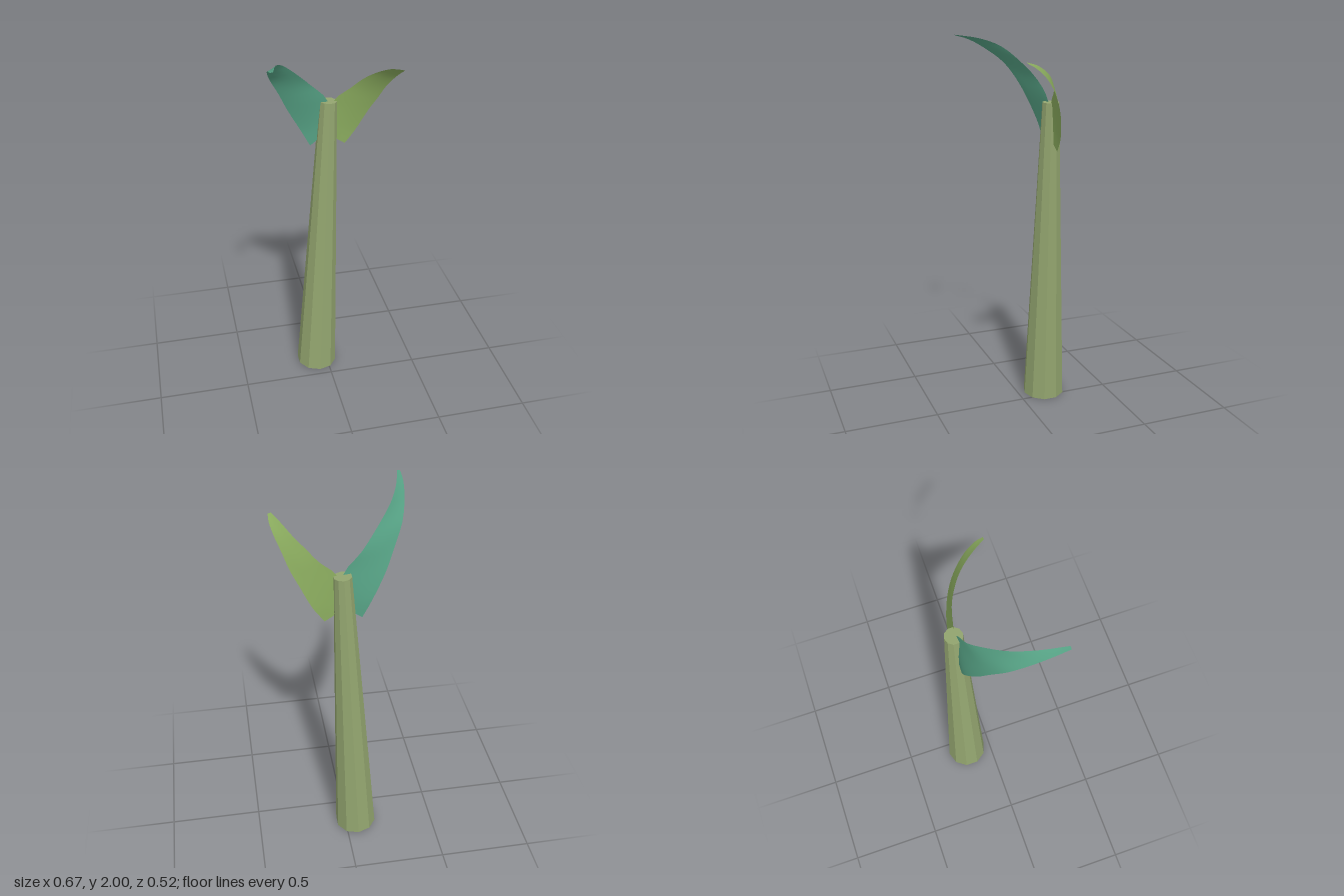
import * as THREE from 'three';

const stalkGreen = new THREE.MeshStandardMaterial({ color: 0x93a56f, flatShading: true });
stalkGreen.name = 'stalk green';
const leafGreen = new THREE.MeshStandardMaterial({ color: 0x8aab5e, side: THREE.DoubleSide });
leafGreen.name = 'leaf green';
const leafTeal = new THREE.MeshStandardMaterial({ color: 0x55a083, side: THREE.DoubleSide });
leafTeal.name = 'leaf teal';

const curve = (pts) => new THREE.CatmullRomCurve3(pts.map((p) => new THREE.Vector3(...p)));

// Thin curved blade lofted between two edges, with a slight groove along the midrib
function makeLeaf(name, outer, inner, material) {
  const a = curve(outer), b = curve(inner);
  const rows = 21, cols = 4, pos = [], index = [];
  for (let i = 0; i <= rows; i++) {
    const t = i / rows;
    const p = a.getPoint(t), q = b.getPoint(t);
    for (let j = 0; j <= cols; j++) {
      const s = j / cols;
      const v = p.clone().lerp(q, s);
      const groove = 0.006 * Math.sin(Math.PI * t) * (1 - Math.abs(2 * s - 1));
      pos.push(v.x, v.y - groove * t, v.z - groove * (1 - t));
      if (i < rows && j < cols) {
        const k = i * (cols + 1) + j, n = k + cols + 1;
        // keep the front of each face towards +z
        if (outer[0][0] < inner[0][0]) index.push(k, k + 1, n, k + 1, n + 1, n);
        else index.push(k, n, k + 1, k + 1, n, n + 1);
      }
    }
  }
  const g = new THREE.BufferGeometry();
  g.setAttribute('position', new THREE.Float32BufferAttribute(pos, 3));
  g.setIndex(index);
  g.computeVertexNormals();
  const mesh = new THREE.Mesh(g, material);
  mesh.name = name;
  return mesh;
}

export function createModel() {
  const model = new THREE.Group();
  model.name = 'sprout';

  // Leaning, tapered ten-sided stalk
  const foot = new THREE.Vector3(-0.06, 0.006, -0.147);
  const head = new THREE.Vector3(0.017, 1.67, -0.147);
  const axis = head.clone().sub(foot);
  const stalk = new THREE.Mesh(new THREE.CylinderGeometry(0.045, 0.114, axis.length(), 10), stalkGreen);
  stalk.name = 'stalk';
  stalk.position.copy(foot).add(head).multiplyScalar(0.5);
  stalk.rotation.z = -Math.atan2(axis.x, axis.y);
  model.add(stalk);

  // Taller leaf on the model's right
  model.add(makeLeaf('rightLeaf',
    [[-0.08, 1.43, -0.147], [-0.13, 1.525, -0.143], [-0.2, 1.655, -0.108], [-0.25, 1.765, -0.06],
      [-0.295, 1.855, 0], [-0.322, 1.925, 0.09], [-0.335, 1.975, 0.18], [-0.335, 1.998, 0.26]],
    [[-0.045, 1.455, -0.147], [0, 1.56, -0.142], [0.012, 1.672, -0.135], [-0.08, 1.775, -0.112],
      [-0.17, 1.87, -0.045], [-0.24, 1.94, 0.03], [-0.287, 1.98, 0.13], [-0.32, 2, 0.26]],
    leafTeal));

  // Shorter leaf on the model's left
  model.add(makeLeaf('leftLeaf',
    [[0.105, 1.425, -0.147], [0.16, 1.5, -0.141], [0.22, 1.615, -0.115], [0.26, 1.69, -0.085],
      [0.29, 1.765, -0.045], [0.32, 1.83, 0.01], [0.335, 1.873, 0.065], [0.335, 1.895, 0.105]],
    [[0.06, 1.455, -0.147], [0.04, 1.56, -0.142], [0.045, 1.672, -0.137], [0.125, 1.74, -0.117],
      [0.18, 1.795, -0.085], [0.235, 1.842, -0.035], [0.285, 1.883, 0.04], [0.32, 1.9, 0.105]],
    leafGreen));

  return model;
}
